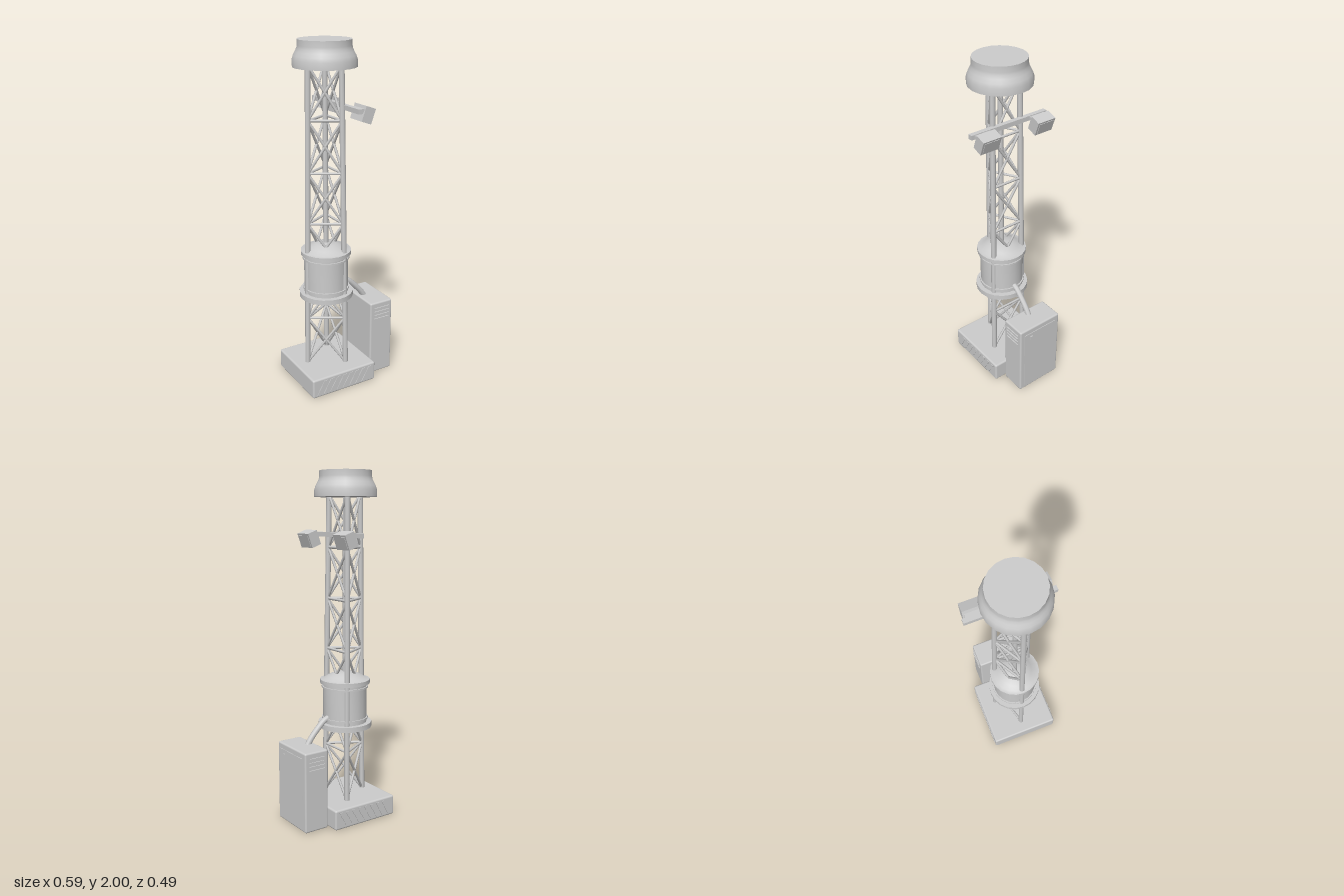
import * as THREE from 'three';
import { toCreasedNormals } from 'three/addons/utils/BufferGeometryUtils.js';
import { RoundedBoxGeometry } from 'three/addons/geometries/RoundedBoxGeometry.js';

const grey = new THREE.MeshStandardMaterial({ color: 0xcccccc });
grey.name = 'lightGrey';

const AXIS = -0.085; // x of the tower's centre line
const V = (x, y, z) => new THREE.Vector3(x, y, z);

function add(parent, name, geometry, x = 0, y = 0, z = 0) {
  const mesh = new THREE.Mesh(geometry, grey);
  mesh.name = name;
  mesh.position.set(x, y, z);
  parent.add(mesh);
  return mesh;
}

function group(parent, name, x = 0, y = 0, z = 0) {
  const g = new THREE.Group();
  g.name = name;
  g.position.set(x, y, z);
  parent.add(g);
  return g;
}

const box = (w, h, d) => new THREE.BoxGeometry(w, h, d);

// Straight round bar between two points
function rod(parent, name, a, b, radius, sides = 6) {
  const dir = b.clone().sub(a);
  const mesh = add(parent, name, new THREE.CylinderGeometry(radius, radius, dir.length(), sides));
  mesh.position.copy(a).add(b).multiplyScalar(0.5);
  mesh.quaternion.setFromUnitVectors(V(0, 1, 0), dir.normalize());
  return mesh;
}

// Turned part with crisp edges, from [radius, height] pairs, bottom to top
function turned(parent, name, profile) {
  const points = profile.map(([r, y]) => new THREE.Vector2(r, y));
  return add(parent, name, toCreasedNormals(new THREE.LatheGeometry(points, 20), 0.6));
}

function buildTower(parent) {
  const tower = group(parent, 'tower', AXIS);
  const bottom = 0.115, top = 1.87, bays = 6;
  // Point on one of the three tapering legs
  const legPoint = (i, t) => {
    const angle = Math.PI + (i * Math.PI * 2) / 3;
    const r = 0.13 - 0.028 * t;
    return V(r * Math.cos(angle), bottom + (top - bottom) * t, r * Math.sin(angle));
  };
  for (let i = 0; i < 3; i++) {
    const j = (i + 1) % 3;
    rod(tower, 'leg', legPoint(i, 0), legPoint(i, 1), 0.016, 8);
    for (let k = 0; k < bays; k++) {
      const t0 = k / bays, t1 = (k + 1) / bays;
      rod(tower, 'crossBrace', legPoint(i, t0), legPoint(j, t1), 0.0075);
      rod(tower, 'crossBrace', legPoint(j, t0), legPoint(i, t1), 0.0075);
      if (k) rod(tower, 'horizontalBrace', legPoint(i, t0), legPoint(j, t0), 0.008);
    }
  }
  rod(tower, 'centrePole', V(0, 0.84, 0), V(0, 1.87, 0), 0.015, 8);

  // Drum with flanges, thin bands and a shallow dome
  turned(tower, 'drum', [
    [0, 0.535], [0.157, 0.535], [0.157, 0.565], [0.128, 0.565], [0.128, 0.797],
    [0.146, 0.797], [0.146, 0.82], [0.125, 0.822], [0.1, 0.84], [0.06, 0.857], [0, 0.865],
  ]);
  for (const y of [0.59, 0.775]) {
    turned(tower, 'drumBand', [[0.12, y - 0.005], [0.136, y - 0.005], [0.136, y + 0.005], [0.12, y + 0.005]]);
  }

  // Flared cap
  turned(tower, 'cap', [
    [0, 1.857], [0.175, 1.857], [0.175, 1.895], [0.168, 1.917], [0.157, 1.937],
    [0.149, 1.955], [0.147, 1.968], [0.147, 2], [0, 2],
  ]);
}

function buildBase(parent) {
  const base = group(parent, 'base', -0.0835, 0.059, 0);
  add(base, 'slab', new RoundedBoxGeometry(0.423, 0.118, 0.425, 2, 0.011));
  // Slanted warning stripes on the front and back faces
  const stripe = new THREE.Shape([
    new THREE.Vector2(-0.035, -0.042), new THREE.Vector2(-0.013, -0.042),
    new THREE.Vector2(0.035, 0.042), new THREE.Vector2(0.013, 0.042),
  ]);
  const plate = new THREE.ExtrudeGeometry(stripe, { depth: 0.004, bevelEnabled: false });
  for (const side of [1, -1]) {
    for (let i = 0; i < 8; i++) {
      const x = -0.151 + i * 0.0432;
      add(base, 'warningStripe', plate, x, 0, side > 0 ? 0.2115 : -0.2155);
    }
  }
}

function buildCabinet(parent) {
  const cabinet = group(parent, 'cabinet', 0.211, 0, 0);
  add(cabinet, 'cabinetBody', new RoundedBoxGeometry(0.152, 0.468, 0.292, 2, 0.01), 0, 0.234, 0);
  add(cabinet, 'door', box(0.006, 0.4, 0.234), 0.0765, 0.234, 0);
  add(cabinet, 'doorHandle', box(0.008, 0.024, 0.02), 0.081, 0.4, 0.07);
  for (const side of [1, -1]) {
    for (let i = 0; i < 4; i++) {
      add(cabinet, 'louvre', box(0.104, 0.009, 0.012), 0, 0.362 + i * 0.023, side * 0.146);
    }
  }
}

function buildLights(parent) {
  const lights = group(parent, 'floodlights');
  add(lights, 'crossbar', box(0.027, 0.026, 0.494), -0.014, 1.65, 0);
  for (const side of [1, -1]) {
    const lamp = group(lights, 'floodlight', 0.043, 1.624, side * 0.178);
    lamp.rotation.z = -0.35;
    add(lamp, 'lampHousing', box(0.062, 0.085, 0.115));
    add(lamp, 'lampLens', box(0.005, 0.065, 0.093), 0.031, 0, 0);
    add(lights, 'lampBracket', box(0.03, 0.018, 0.1), 0.005, 1.65, side * 0.178);
  }
}

export function createModel() {
  const model = new THREE.Group();
  model.name = 'latticeTower';
  buildBase(model);
  buildTower(model);
  buildCabinet(model);
  buildLights(model);
  // Conduit bending from the drum down into the cabinet
  const path = new THREE.CatmullRomCurve3([
    V(0.02, 0.605, 0), V(0.06, 0.59, 0), V(0.11, 0.545, 0), V(0.155, 0.495, 0), V(0.178, 0.46, 0),
  ]);
  add(model, 'conduit', new THREE.TubeGeometry(path, 10, 0.017, 8));
  return model;
}
